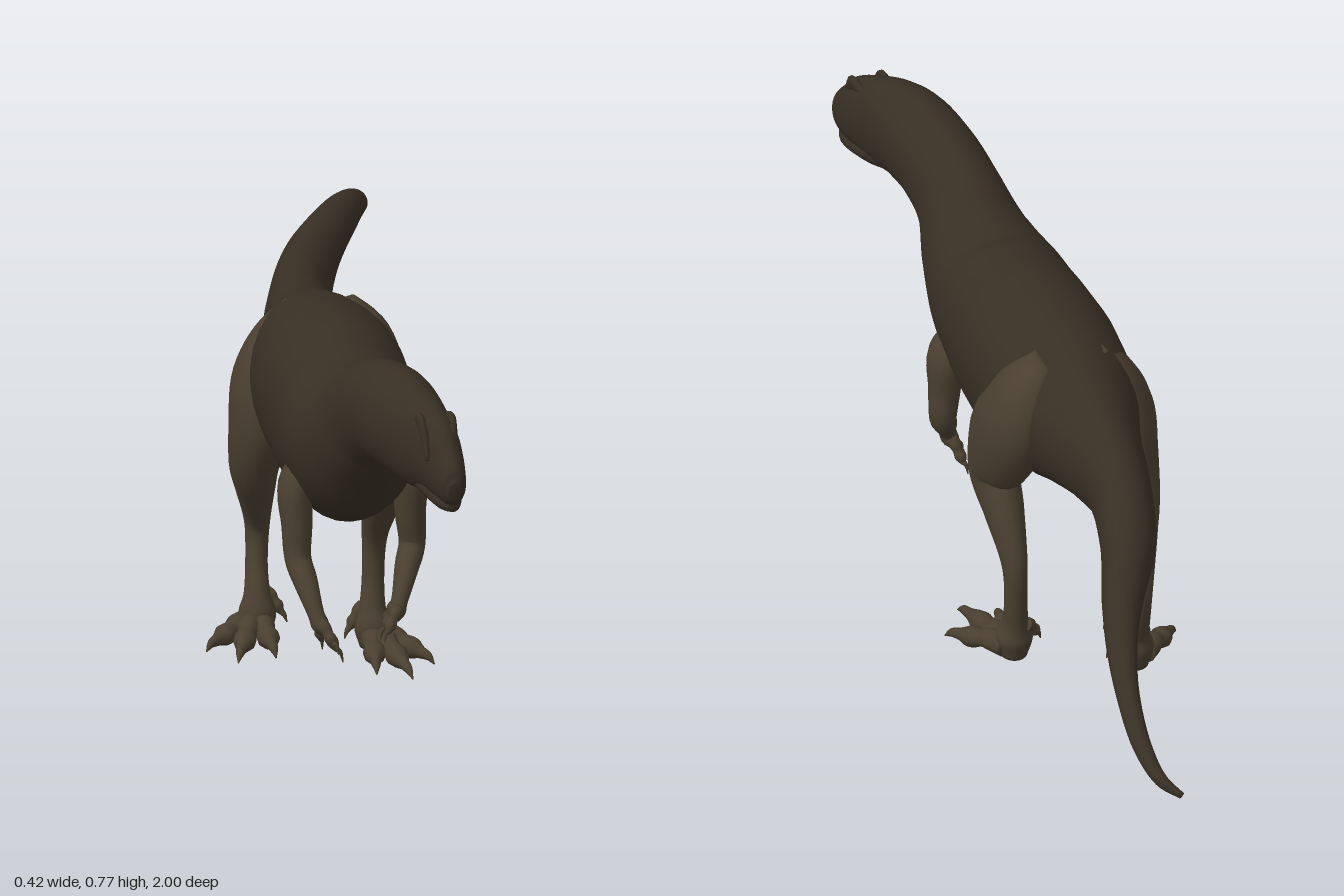
import * as THREE from 'three';

const V = (x, y, z) => new THREE.Vector3(x, y, z);
const skin = new THREE.MeshStandardMaterial({ color: 0x382f24 });
const limbSkin = new THREE.MeshStandardMaterial({ color: 0x4a3f30 });

// Smooth closed skin through sections [x, y, z, halfWidth, halfDepth, pinch].
// A positive pinch narrows the underside and broadens the upper half.
function loft(name, sections, ref, material, sides = 20, steps = 5) {
  const path = new THREE.CatmullRomCurve3(sections.map(s => V(s[0], s[1], s[2])));
  const size = new THREE.CatmullRomCurve3(sections.map(s => V(s[3], s[4], s[5] || 0)), false, 'catmullrom', 0.5);
  const n = (sections.length - 1) * steps;
  const pos = [], index = [];
  for (let r = -1; r <= n + 1; r++) {
    const u = THREE.MathUtils.clamp(r / n, 0, 1);
    const c = path.getPoint(u), t = path.getTangent(u), s = size.getPoint(u);
    const side = ref.clone().cross(t).normalize();
    const up = t.clone().cross(side);
    const k = (r < 0 || r > n) ? 0 : 1; // collapsed rings close the ends
    for (let j = 0; j < sides; j++) {
      const a = j / sides * Math.PI * 2;
      const w = Math.cos(a) * (1 + s.z * Math.sin(a)) * Math.max(s.x, 0.0008) * k;
      const h = Math.sin(a) * Math.max(s.y, 0.0008) * k;
      const p = c.clone().addScaledVector(side, w).addScaledVector(up, h);
      pos.push(p.x, p.y, p.z);
    }
  }
  for (let i = 0; i < n + 2; i++) for (let j = 0; j < sides; j++) {
    const a = i * sides + j, b = i * sides + (j + 1) % sides;
    index.push(a, b, a + sides, b, b + sides, a + sides);
  }
  const g = new THREE.BufferGeometry();
  g.setAttribute('position', new THREE.Float32BufferAttribute(pos, 3));
  g.setIndex(index);
  g.computeVertexNormals();
  const m = new THREE.Mesh(g, material);
  m.name = name;
  return m;
}

const UP = V(0, 1, 0), FWD = V(0, 0, 1);

// A digit: fleshy knuckles from base to tip, ending in a curved claw.
function digit(name, base, tip, r, ref, claw) {
  const at = (f, lift) => {
    const p = base.clone().lerp(tip, f);
    p.y += lift;
    return p.toArray();
  };
  return loft(name, [
    [...at(0, 0), r, r], [...at(0.25, r * 0.45), r, r * 0.95],
    [...at(0.4, r * 0.4), r * 0.8, r * 0.75], [...at(0.57, r * 0.35), r * 0.95, r * 0.9],
    [...at(0.74, r * 0.4), r * 0.5, r * 0.55], [...at(0.88, r * claw), r * 0.34, r * 0.38],
    [...at(1, 0), 0.001, 0.001],
  ], ref, limbSkin, 10, 4);
}

// s is the body side; the two legs are mid-stride, so each has its own joints.
function leg(s, hip, knee, hock, ankle, tips) {
  const g = new THREE.Group();
  g.name = s > 0 ? 'leftLeg' : 'rightLeg';
  const [kx, ky, kz] = knee, [hx, hy, hz] = hock, [ax, ay, az] = ankle;
  g.add(loft('thighAndShank', [
    [s * 0.045, 0.65, 0.07, 0.02, 0.03],
    [s * 0.075, 0.59, 0.08, 0.048, 0.068],
    [...hip, 0.06, 0.088],
    [hip[0] * 0.5 + kx * 0.5, 0.44, (hip[2] + kz) / 2 + 0.012, 0.058, 0.09],
    [kx, ky, kz, 0.045, 0.066],
    [kx * 0.6 + hx * 0.4, ky * 0.6 + hy * 0.4, kz * 0.55 + hz * 0.45, 0.036, 0.05],
    [hx, hy, hz, 0.023, 0.032],
    [(hx + ax) / 2, (hy + ay) / 2, (hz + az) / 2 - 0.006, 0.02, 0.025],
    [ax, ay + 0.02, az, 0.024, 0.027],
    [ax, ay - 0.012, az + 0.006, 0.034, 0.034],
    [ax, 0.01, az + 0.008, 0.024, 0.026],
  ], FWD, limbSkin));
  tips.forEach(([x, z], i) => g.add(digit('toe' + (i + 1),
    V(ax + (x - ax) * 0.15, 0.029, az + 0.005), V(x, 0.006, z), 0.022, UP, 0.4)));
  // small raised inner toe
  g.add(digit('innerToe', V(ax - s * 0.015, 0.08, az - 0.012),
    V(ax - s * 0.052, 0.028, az + 0.012), 0.013, FWD, 0.5));
  return g;
}

function arm(s, shoulder, elbow, wrist, tips) {
  const g = new THREE.Group();
  g.name = s > 0 ? 'leftArm' : 'rightArm';
  const mid = (a, b, f) => a.map((v, i) => v + (b[i] - v) * f);
  g.add(loft('upperArmAndForearm', [
    [shoulder[0] * 0.72, shoulder[1] + 0.06, shoulder[2] - 0.01, 0.02, 0.03],
    [...shoulder, 0.031, 0.045],
    [...mid(shoulder, elbow, 0.55), 0.028, 0.036],
    [...elbow, 0.024, 0.029],
    [...mid(elbow, wrist, 0.4), 0.022, 0.025],
    [...wrist, 0.015, 0.018],
    [wrist[0] - s * 0.007, wrist[1] - 0.02, wrist[2] + 0.006, 0.016, 0.023],
    [wrist[0] - s * 0.012, wrist[1] - 0.035, wrist[2] + 0.009, 0.009, 0.015],
  ], FWD, limbSkin, 16));
  tips.forEach((t, i) => g.add(digit('finger' + (i + 1),
    V(wrist[0] - s * 0.005, wrist[1] - 0.012, wrist[2] + 0.016 - i * 0.013),
    V(...t), 0.0115, FWD, 0.9)));
  return g;
}

export function createModel() {
  const model = new THREE.Group();
  model.name = 'dinosaur';

  // head, neck, trunk and tail as one continuous skin
  model.add(loft('body', [
    [0.108, 0.622, 0.998, 0.012, 0.018],
    [0.107, 0.625, 0.985, 0.022, 0.038],
    [0.1, 0.64, 0.945, 0.033, 0.058, -0.05],
    [0.087, 0.66, 0.9, 0.043, 0.078, -0.05],
    [0.066, 0.672, 0.85, 0.057, 0.09],
    [0.043, 0.683, 0.78, 0.07, 0.095],
    [0.025, 0.672, 0.7, 0.074, 0.094],
    [0.012, 0.637, 0.62, 0.08, 0.097],
    [0.006, 0.585, 0.55, 0.102, 0.112],
    [0, 0.542, 0.47, 0.122, 0.145, 0.05],
    [0, 0.523, 0.38, 0.128, 0.168, 0.1],
    [0, 0.518, 0.28, 0.133, 0.18, 0.13],
    [-0.005, 0.525, 0.18, 0.134, 0.169, 0.1],
    [-0.01, 0.53, 0.08, 0.124, 0.147],
    [-0.01, 0.53, 0, 0.1, 0.12],
    [-0.01, 0.53, -0.08, 0.076, 0.099],
    [0, 0.54, -0.2, 0.058, 0.08],
    [0.05, 0.555, -0.4, 0.05, 0.056],
    [0.13, 0.562, -0.6, 0.036, 0.038],
    [0.165, 0.546, -0.7, 0.028, 0.028],
    [0.188, 0.51, -0.8, 0.021, 0.021],
    [0.195, 0.463, -0.9, 0.017, 0.016],
    [0.182, 0.43, -0.965, 0.012, 0.012],
    [0.155, 0.412, -0.998, 0.006, 0.006],
  ], UP, skin, 32, 6));

  // lower jaw, leaving a faint mouth crease
  model.add(loft('lowerJaw', [
    [0.107, 0.588, 0.978, 0.012, 0.01],
    [0.103, 0.589, 0.955, 0.023, 0.016],
    [0.092, 0.597, 0.91, 0.031, 0.021],
    [0.074, 0.612, 0.85, 0.034, 0.026],
    [0.052, 0.64, 0.78, 0.03, 0.03],
  ], UP, skin, 16));

  // pointed brow crests running down to the snout
  for (const s of [-1, 1]) {
    const x = 0.086 + s * 0.026;
    model.add(loft('browCrest', [
      [x + 0.004, 0.67, 0.955, 0.004, 0.006],
      [x + 0.002, 0.702, 0.935, 0.007, 0.01],
      [x + s * 0.002, 0.728, 0.915, 0.007, 0.014],
      [x - 0.004, 0.728, 0.892, 0.008, 0.01],
      [x - 0.014, 0.72, 0.855, 0.004, 0.005],
    ], UP, skin, 10));
  }

  model.add(leg(1, [0.088, 0.52, 0.1], [0.1, 0.36, 0.18], [0.093, 0.215, 0.095], [0.088, 0.06, 0.105],
    [[0.184, 0.21], [0.135, 0.282], [0.075, 0.25]]));
  model.add(leg(-1, [-0.1, 0.52, 0.09], [-0.118, 0.35, 0.055], [-0.1, 0.205, -0.03], [-0.105, 0.06, 0.005],
    [[-0.208, 0.09], [-0.16, 0.155], [-0.09, 0.14]]));

  model.add(arm(1, [0.105, 0.45, 0.43], [0.112, 0.32, 0.43], [0.08, 0.24, 0.5],
    [[0.045, 0.18, 0.555], [0.045, 0.168, 0.505], [0.055, 0.168, 0.458]]));
  model.add(arm(-1, [-0.1, 0.45, 0.45], [-0.1, 0.32, 0.48], [-0.078, 0.24, 0.55],
    [[-0.045, 0.18, 0.605], [-0.032, 0.152, 0.57], [-0.062, 0.16, 0.52]]));

  return model;
}
